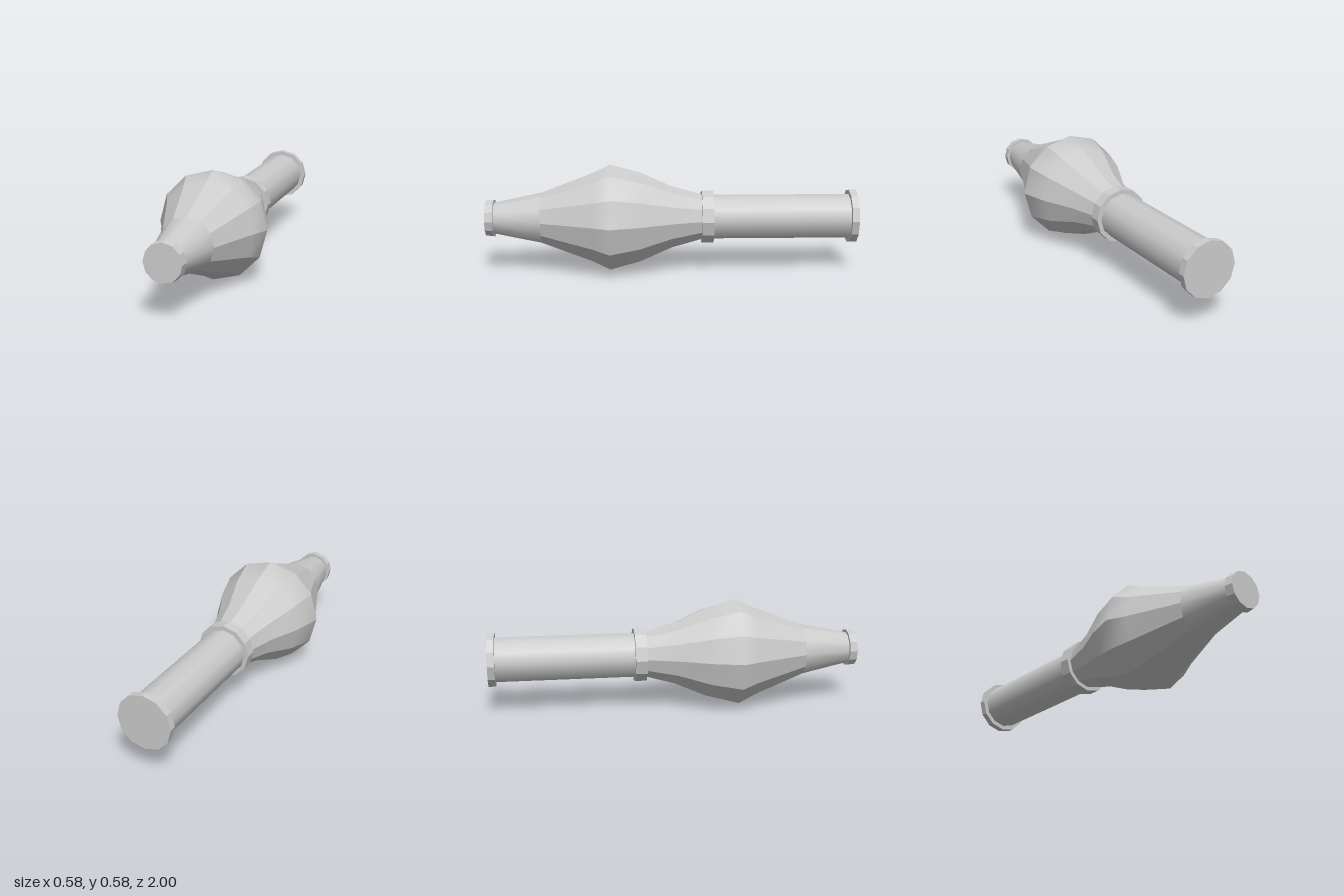
import * as THREE from 'three';
import { mergeGeometries } from 'three/addons/utils/BufferGeometryUtils.js';

const SIDES = 12;
const AXIS_Y = 0.291;

export function createModel() {
  const group = new THREE.Group();
  const smooth = new THREE.MeshStandardMaterial({ color: 0xcccccc });
  const faceted = new THREE.MeshStandardMaterial({ color: 0xcccccc, flatShading: true });

  function add(name, geometry, material) {
    geometry.rotateX(Math.PI / 2); // lay the turning axis along z
    const mesh = new THREE.Mesh(geometry, material);
    mesh.name = name;
    mesh.position.y = AXIS_Y;
    group.add(mesh);
  }

  // Round section from z0 (radius r0) to z1 (radius r1)
  function section(name, z0, r0, z1, r1, material) {
    const geometry = new THREE.CylinderGeometry(r1, r0, z1 - z0, SIDES);
    geometry.translate(0, (z0 + z1) / 2, 0);
    add(name, geometry, material);
  }

  // Rear tube and its collars
  section('rearTube', -0.98, 0.122, -0.19, 0.122, smooth);
  section('endCap', -1, 0.146, -0.962, 0.146, faceted);
  section('middleCollar', -0.225, 0.146, -0.163, 0.146, faceted);

  // Swollen body: hard edges between the wedges, smooth along the length
  const profile = [
    [0.12, -0.18], [0.171, 0], [0.247, 0.17], [0.291, 0.33], [0.247, 0.42], [0.14, 0.7],
  ].map(([r, z]) => new THREE.Vector2(r, z));
  const step = (Math.PI * 2) / SIDES;
  const wedges = [];
  for (let i = 0; i < SIDES; i++) {
    const wedge = new THREE.LatheGeometry(profile, 1, i * step, step);
    wedge.computeVertexNormals();
    wedges.push(wedge);
  }
  add('body', mergeGeometries(wedges), smooth);

  // Tapered neck and nose cap
  section('neck', 0.7, 0.14, 0.97, 0.083, smooth);
  section('noseCap', 0.957, 0.102, 1, 0.097, faceted);

  return group;
}
